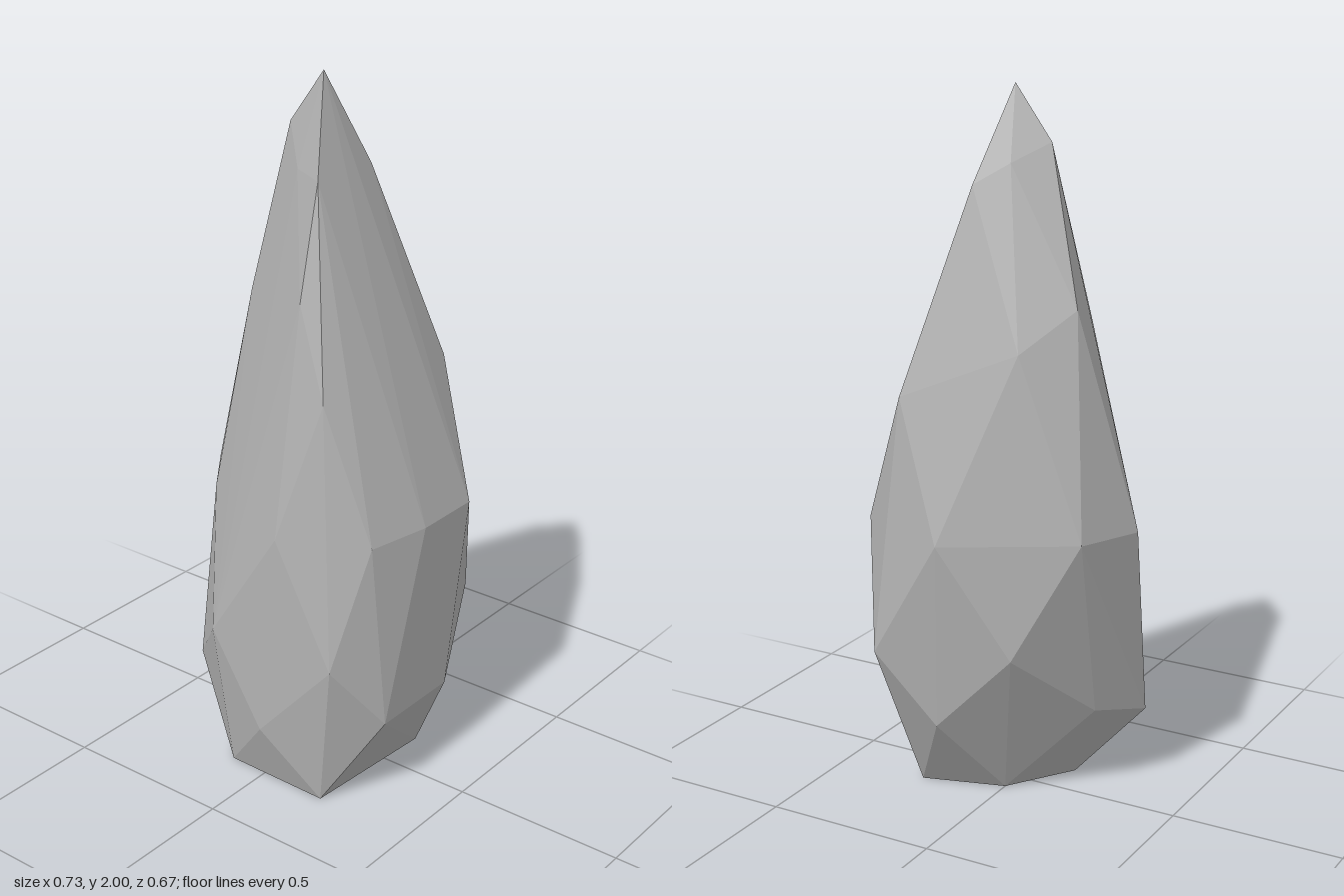
import * as THREE from 'three';
import { ConvexGeometry } from 'three/addons/geometries/ConvexGeometry.js';

// Corner points of the cut stone, ring by ring from tip to base
const rings = {
  tip: [[0.015, 2, 0.018], [-0.096, 1.85, 0.018]],
  shoulder: [[0.08, 1.74, 0.125], [-0.015, 1.75, 0.09], [0.077, 1.74, -0.105], [-0.02, 1.8, -0.07]],
  upper: [[0.08, 1.43, 0.2], [-0.19, 1.38, 0.073], [-0.227, 1.43, -0.08], [-0.115, 1.32, -0.2],
    [0.18, 1.18, 0.23], [0.215, 1.18, -0.265]],
  belly: [[0.08, 0.79, 0.313], [0.317, 0.79, 0.195], [0.365, 0.8, 0.018], [0.365, 0.8, -0.19],
    [0.065, 0.8, -0.335], [-0.3, 0.82, -0.185], [-0.367, 0.81, 0.018], [-0.26, 0.8, 0.16]],
  lower: [[-0.16, 0.43, 0.302], [0.26, 0.44, 0.305], [0.272, 0.455, -0.325], [-0.125, 0.48, -0.26]],
  foot: [[0.035, 0.19, 0.333], [0.35, 0.25, 0.17], [0.35, 0.25, -0.115], [0.1, 0.25, -0.28],
    [-0.257, 0.27, -0.01], [-0.335, 0.23, 0.155]],
  base: [[-0.12, 0, 0.27], [0.205, 0, 0.275], [0.235, 0, -0.14], [0, 0, -0.07], [-0.128, 0, 0.12]],
};

export function createModel() {
  const group = new THREE.Group();
  group.name = 'crystalShard';
  const stone = new THREE.MeshStandardMaterial({ color: 0xb0b0b0 });
  stone.name = 'greyStone';

  // Flat facets spanning all the corners
  const points = Object.values(rings).flat().map((p) => new THREE.Vector3(...p));
  const shard = new THREE.Mesh(new ConvexGeometry(points), stone);
  shard.name = 'shard';
  group.add(shard);
  return group;
}
